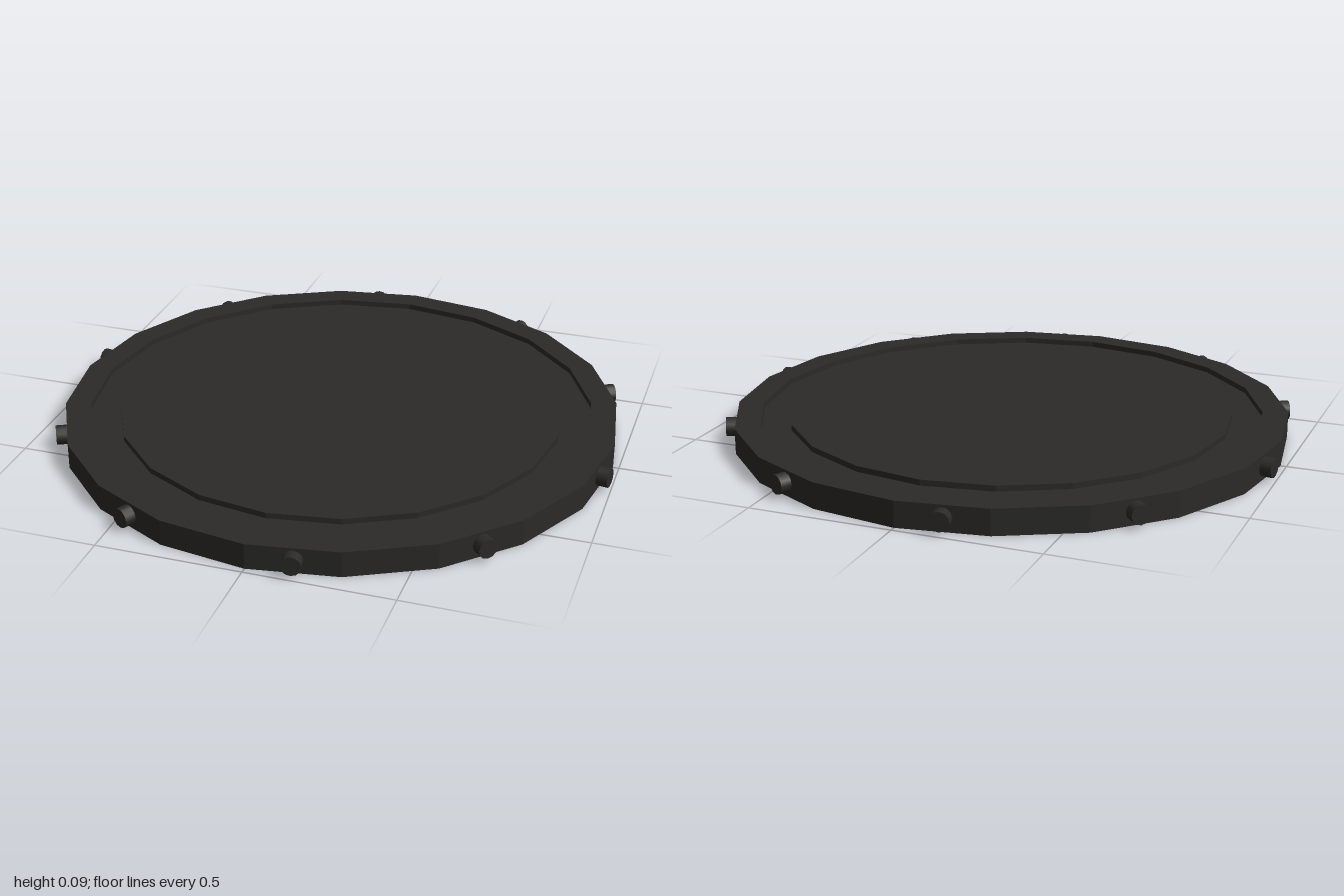
import * as THREE from 'three';

const SIDES = 20, STUDS = 10;

export function createModel() {
  const model = new THREE.Group();
  const material = new THREE.MeshStandardMaterial({ color: 0x2b2a28, flatShading: true });

  // Turn a [radius, height] outline, listed from bottom to top
  const turned = (name, outline) => {
    const points = outline.map(([r, y]) => new THREE.Vector2(r, y));
    const mesh = new THREE.Mesh(new THREE.LatheGeometry(points, SIDES), material);
    mesh.name = name;
    model.add(mesh);
  };

  // Base with raised rim and the floor of the ring groove
  turned('rimmedBase', [[0, 0], [0.98, 0], [0.98, 0.09], [0.89, 0.09], [0.89, 0.07], [0.785, 0.07]]);

  // Raised panel inside the groove
  turned('centrePanel', [[0.785, 0.07], [0.785, 0.09], [0, 0.09]]);

  // Round studs on every second side face
  const studs = new THREE.Group();
  studs.name = 'studs';
  const studGeometry = new THREE.CylinderGeometry(0.034, 0.034, 0.06, 12).rotateX(Math.PI / 2);
  const studMaterial = new THREE.MeshStandardMaterial({ color: 0x2b2a28 });
  for (let i = 0; i < STUDS; i++) {
    const angle = Math.PI / SIDES + (i * 2 * Math.PI) / STUDS;
    const stud = new THREE.Mesh(studGeometry, studMaterial);
    stud.name = 'stud';
    stud.position.set(0.977 * Math.sin(angle), 0.048, 0.977 * Math.cos(angle));
    stud.rotation.y = angle;
    studs.add(stud);
  }
  model.add(studs);

  return model;
}
